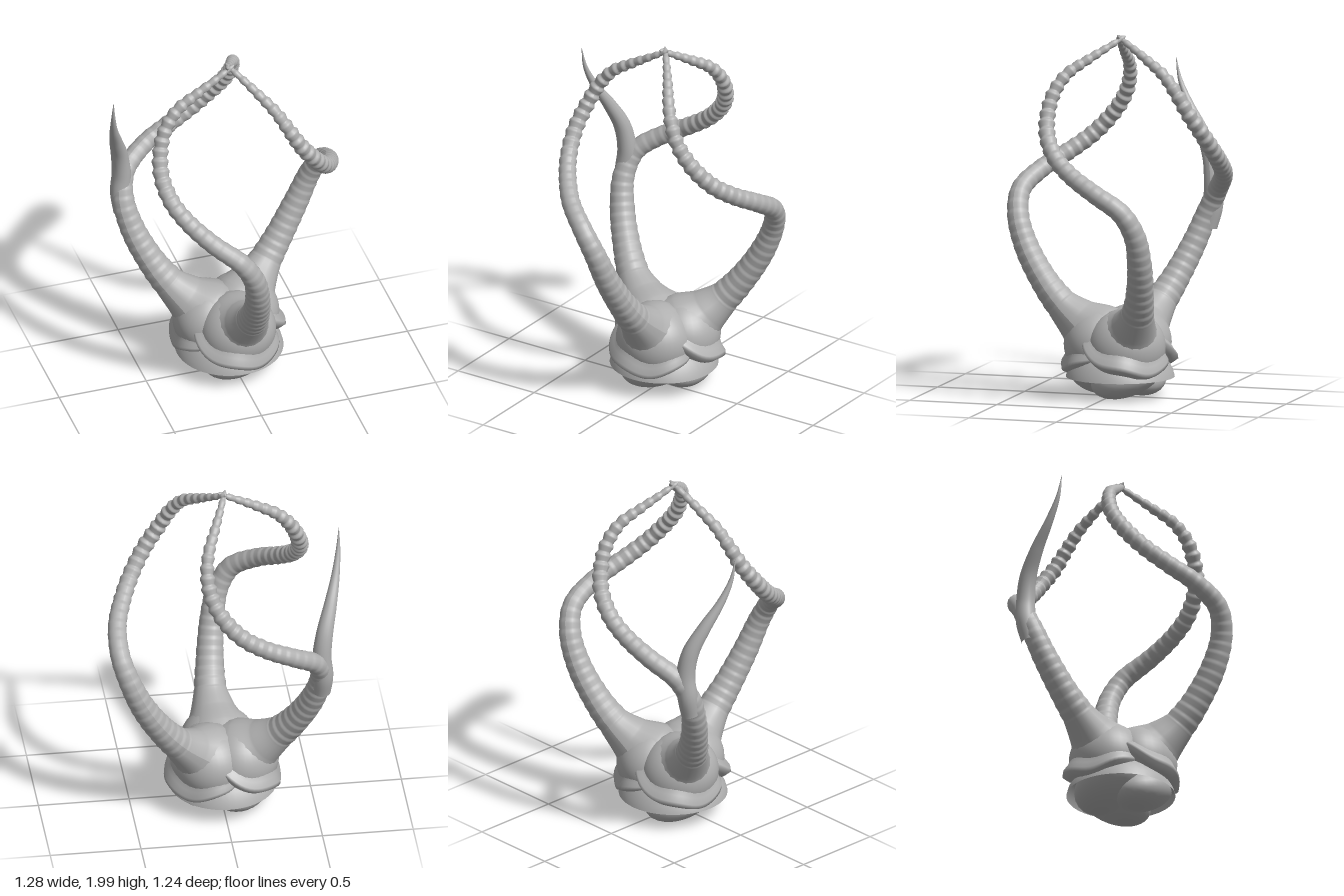
import * as THREE from 'three';

const grey = new THREE.MeshStandardMaterial({ color: 0xb0b0b0 });
grey.name = 'grey';
const greyOpen = new THREE.MeshStandardMaterial({ color: 0xb0b0b0, side: THREE.DoubleSide });
greyOpen.name = 'grey open surface';

function add(parent, name, geometry, material = grey) {
  const mesh = new THREE.Mesh(geometry, material);
  mesh.name = name;
  parent.add(mesh);
  return mesh;
}

// Tube through rows of [x, y, z, radius]; ripple(u) scales the radius along the length
function taperedTube(rows, steps, sides, ripple = () => 1) {
  const path = new THREE.CatmullRomCurve3(rows.map(([x, y, z]) => new THREE.Vector3(x, y, z)));
  const radii = new THREE.CatmullRomCurve3(rows.map((r) => new THREE.Vector3(r[3], 0, 0)));
  path.arcLengthDivisions = 600;
  const geo = new THREE.TubeGeometry(path, steps, 1, sides);
  const pos = geo.attributes.position;
  const nor = geo.attributes.normal;
  const p = new THREE.Vector3();
  const n = new THREE.Vector3();
  for (let i = 0; i < pos.count; i++) {
    const u = Math.floor(i / (sides + 1)) / steps;
    const radius = Math.max(0.001, radii.getPoint(path.getUtoTmapping(u)).x) * ripple(u);
    path.getPointAt(u, p);
    n.fromBufferAttribute(nor, i);
    p.addScaledVector(n, radius);
    pos.setXYZ(i, p.x, p.y, p.z);
  }
  geo.computeVertexNormals();
  return geo;
}

// Flaring root, outward bow, sideways sweep, then inward to the meeting tips
const armRows = [
  [0.01, 0.29, 0.07, 0.2], [0.015, 0.35, 0.15, 0.18], [0.022, 0.42, 0.24, 0.125],
  [0.025, 0.5, 0.33, 0.09], [0.015, 0.62, 0.43, 0.077], [-0.01, 0.8, 0.54, 0.068],
  [-0.05, 0.97, 0.602, 0.06], [-0.125, 1.1, 0.608, 0.055], [-0.255, 1.2, 0.53, 0.051],
  [-0.36, 1.285, 0.41, 0.048], [-0.425, 1.37, 0.3, 0.046], [-0.45, 1.48, 0.195, 0.044],
  [-0.428, 1.6, 0.11, 0.041], [-0.38, 1.71, 0.066, 0.037], [-0.305, 1.8, 0.045, 0.032],
  [-0.19, 1.87, 0.032, 0.026], [-0.09, 1.925, 0.02, 0.02], [0.01, 1.98, 0.005, 0.013],
  [0.028, 1.992, 0.003, 0.004],
];

// Overlapping rings that grow stronger toward the tip
function rings(u) {
  const phase = (u * 44) % 1;
  const shape = phase < 0.65 ? phase / 0.65 : (1 - phase) / 0.35;
  const strength = u < 0.13 ? 0 : 0.05 + 0.27 * THREE.MathUtils.smoothstep(u, 0.45, 0.8);
  return 1 + strength * (shape - 0.5);
}

// Folded lip wrapped around the outer lower side of a bulb
function lipGeometry() {
  const profile = [[16, 0.2], [7, 0.222], [1, 0.252], [-4, 0.262], [-13, 0.24], [-32, 0.2]];
  const steps = 36;
  const verts = [];
  const index = [];
  const rad = Math.PI / 180;
  for (let i = 0; i <= steps; i++) {
    const u = i / steps;
    const az = (-115 + 215 * u) * rad;
    const swell = Math.pow(Math.sin(Math.PI * u), 0.5);
    const middle = 20 - 48 * Math.sin(Math.PI * Math.min(1, u * 0.78)) + 3 * Math.sin(u * 17);
    for (const [offset, r] of profile) {
      const el = (middle + offset * (0.4 + 0.6 * swell)) * rad;
      const d = 0.205 + (r - 0.205) * swell;
      verts.push(d * 1.04 * Math.sin(az) * Math.cos(el), d * Math.sin(el), d * Math.cos(az) * Math.cos(el));
    }
  }
  const w = profile.length;
  for (let i = 0; i < steps; i++) {
    for (let j = 0; j < w - 1; j++) {
      const a = i * w + j;
      index.push(a, a + 1, a + w, a + 1, a + w + 1, a + w);
    }
  }
  const geo = new THREE.BufferGeometry();
  geo.setAttribute('position', new THREE.Float32BufferAttribute(verts, 3));
  geo.setIndex(index);
  geo.computeVertexNormals();
  return geo;
}

export function createModel() {
  const model = new THREE.Group();
  model.name = 'tentacled bulb';
  const body = new THREE.Group();
  body.name = 'body';
  body.position.set(-0.01, 0, -0.045);
  model.add(body);

  const armGeo = taperedTube(armRows, 440, 18, rings);
  const bulbGeo = new THREE.SphereGeometry(1, 36, 24);
  const lipGeo = lipGeometry();
  const lobeGeo = new THREE.SphereGeometry(1, 32, 20);

  // Three identical arms around the centre
  for (let i = 0; i < 3; i++) {
    const limb = new THREE.Group();
    limb.name = 'limb' + (i + 1);
    limb.rotation.y = (i * Math.PI * 2) / 3;
    body.add(limb);
    add(limb, 'arm', armGeo);
    const bulb = add(limb, 'bulb', bulbGeo);
    bulb.scale.set(0.216, 0.207, 0.2);
    bulb.position.set(0.01, 0.29, 0.11);
    add(limb, 'lip', lipGeo, greyOpen).position.set(0.01, 0.29, 0.105);

    // Interleaved lobe on the underside
    const lobe = add(limb, 'lowerLobe', lobeGeo);
    lobe.scale.set(0.215, 0.12, 0.175);
    lobe.position.set(0.02, 0.14, 0.105);
    lobe.rotation.z = 0.38;
  }

  // Skirt between the bulbs, with an open flat rim
  const skirt = [[0.298, 0.112], [0.288, 0.15], [0.26, 0.2], [0.2, 0.27], [0.1, 0.34], [0, 0.36]];
  add(body, 'skirt', new THREE.LatheGeometry(skirt.map(([r, y]) => new THREE.Vector2(r, y)), 48), greyOpen);

  // Smooth spur splitting off the back right arm
  add(model, 'spur', taperedTube([
    [-0.51, 0.88, -0.39, 0.05], [-0.515, 1.0, -0.415, 0.056], [-0.507, 1.12, -0.42, 0.053],
    [-0.525, 1.26, -0.4, 0.047], [-0.565, 1.4, -0.335, 0.036], [-0.605, 1.54, -0.25, 0.023],
    [-0.627, 1.67, -0.19, 0.012], [-0.634, 1.79, -0.165, 0.001],
  ], 60, 18));

  return model;
}
